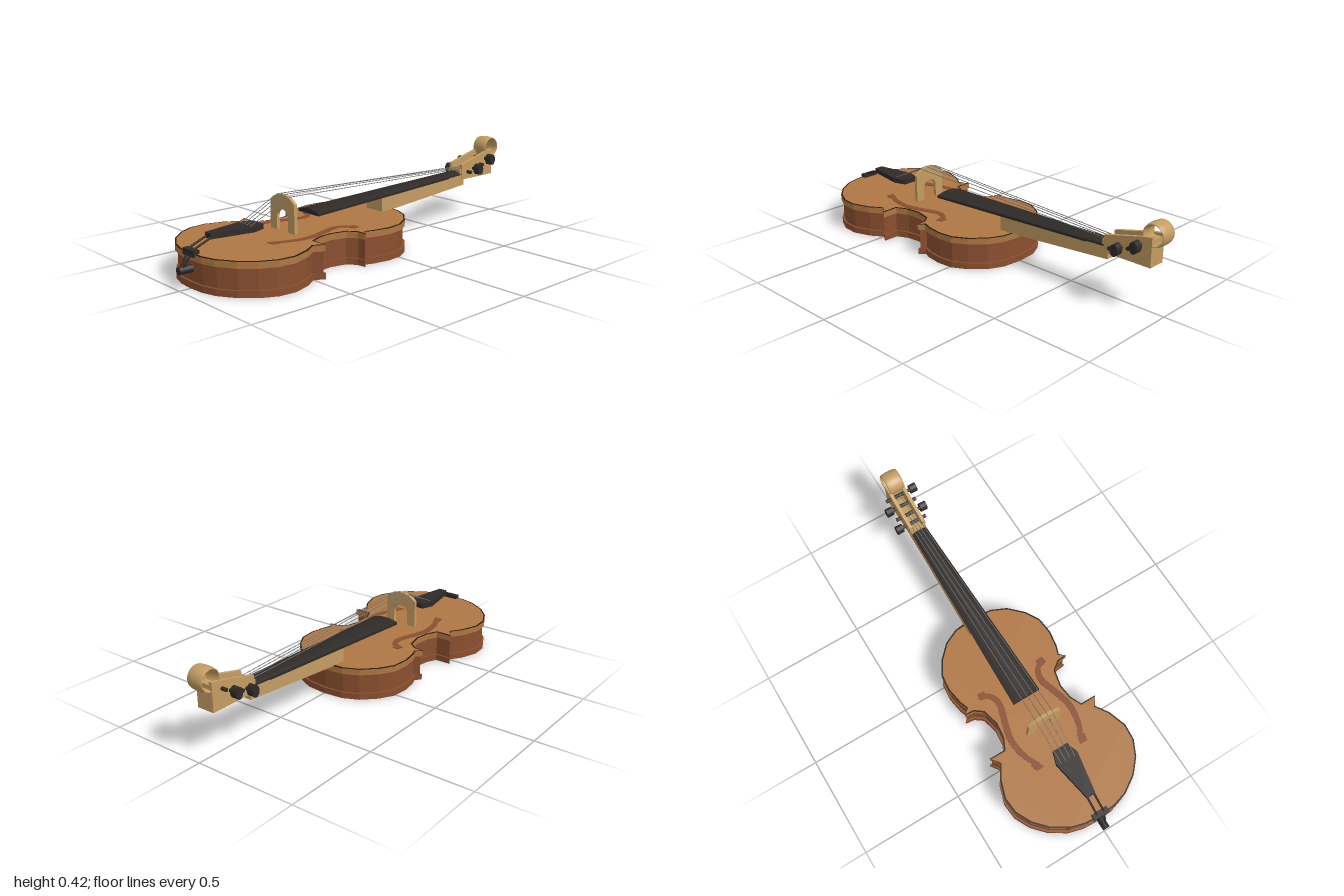
import * as THREE from 'three';

const mat = (color, side = THREE.FrontSide) => {
  const m = new THREE.MeshStandardMaterial({ side });
  m.color.set(color);
  return m;
};
const spruce = mat(0xb07743), maple = mat(0x8a4f2f), pale = mat(0xc49d62);
const ebony = mat(0x2e2a28), edging = mat(0x2b1d12), steel = mat(0x777777);
const V = (x, y, z) => new THREE.Vector3(x, y, z);

// right half of the body outline as [x, z], neck end to tail end
const half = [[0, -.19], [.1, -.18], [.175, -.145], [.24, -.08], [.28, -.01], [.288, .07],
  [.275, .15], [.26, .19], [.285, .215], [.24, .22], [.2, .25], [.182, .33], [.19, .4],
  [.215, .455], [.295, .455], [.265, .5], [.305, .56], [.335, .65], [.328, .73], [.29, .805],
  [.23, .87], [.15, .92], [.08, .94], [0, .945]];
const outline = [...half, ...half.slice(1, -1).reverse().map(([x, z]) => [-x, z])];

// moves a closed outline inward by d
function inset(pts, d) {
  const n = pts.length;
  return pts.map(([x, z], i) => {
    const [ax, az] = pts[(i + n - 1) % n], [bx, bz] = pts[(i + 1) % n];
    const l = Math.hypot(bx - ax, bz - az);
    return [x - (bz - az) / l * d, z + (bx - ax) / l * d];
  });
}

const toShape = (pts) => new THREE.Shape(pts.map(([x, z]) => new THREE.Vector2(x, -z)));

// flat plate from an [x, z] outline, standing on y
function slab(shape, y, h) {
  return new THREE.ExtrudeGeometry(shape, { depth: h, bevelEnabled: false, curveSegments: 12 })
    .rotateX(-Math.PI / 2).translate(0, y, 0);
}

// block between a front and a back section, each { z, w, y0, y1 }, w being half the width
function taper(front, back) {
  const g = new THREE.BoxGeometry(2, 1, 1).toNonIndexed();
  const p = g.attributes.position;
  for (let i = 0; i < p.count; i++) {
    const s = p.getZ(i) > 0 ? front : back;
    p.setXYZ(i, p.getX(i) * s.w, p.getY(i) > 0 ? s.y1 : s.y0, s.z);
  }
  g.computeVertexNormals();
  return g;
}

// straight round bar along a list of points
function rod(points, r, sides = 6) {
  const path = new THREE.CurvePath();
  for (let i = 1; i < points.length; i++) path.add(new THREE.LineCurve3(points[i - 1], points[i]));
  return path.curves.map((c) => new THREE.TubeGeometry(c, 1, r, sides));
}

export function createModel() {
  const root = new THREE.Group();
  const add = (name, geo, material, parent = root) => {
    const m = new THREE.Mesh(geo, material);
    m.name = name;
    parent.add(m);
    return m;
  };
  const group = (name) => {
    const g = new THREE.Group();
    g.name = name;
    root.add(g);
    return g;
  };

  // body
  add('backPlate', slab(toShape(outline), 0, .03), maple);
  add('ribs', slab(toShape(inset(outline, .01)), .03, .095), maple);
  add('topPlate', slab(toShape(outline), .125, .029), spruce);
  const rim = toShape(outline);
  rim.holes.push(new THREE.Path(inset(outline, .007).map(([x, z]) => new THREE.Vector2(x, -z))));
  add('edgeTrim', slab(rim, .153, .003), edging);

  // sound holes: a curved ribbon with a wider foot at each end
  const holes = group('soundHoles');
  const mid = new THREE.SplineCurve([[.165, .175], [.13, .205], [.118, .26], [.148, .36],
    [.164, .44], [.15, .53], [.118, .595]].map(([x, z]) => new THREE.Vector2(x, z)));
  for (const s of [1, -1]) {
    const a = [], b = [];
    for (let i = 0; i <= 24; i++) {
      const p = mid.getPoint(i / 24), t = mid.getTangent(i / 24);
      const w = .011 + .005 * Math.sin(Math.PI * i / 24);
      a.push([s * (p.x - t.y * w), p.y + t.x * w]);
      b.unshift([s * (p.x + t.y * w), p.y - t.x * w]);
    }
    add('soundHoleCurve', slab(toShape([...a, ...b]), .152, .0045), maple, holes);
    const feet = [[[.145, .16], [.182, .157], [.188, .19], [.155, .198]],
      [[.113, .58], [.15, .58], [.14, .618], [.1, .618]]];
    for (const f of feet)
      add('soundHoleEnd', slab(toShape(f.map(([x, z]) => [s * x, z])), .152, .0045), maple, holes);
  }

  // neck
  add('neck', taper({ z: -.11, w: .055, y0: .148, y1: .222 },
    { z: -.725, w: .04, y0: .19, y1: .246 }), pale);

  // fingerboard: arched section, tapering and rising towards the nut
  const section = new THREE.Shape();
  section.moveTo(-1, 0).lineTo(1, 0).lineTo(1, .012);
  section.quadraticCurveTo(0, .036, -1, .012);
  const board = new THREE.ExtrudeGeometry(section, { depth: 1, bevelEnabled: false, curveSegments: 8 });
  const bp = board.attributes.position;
  for (let i = 0; i < bp.count; i++) {
    const t = bp.getZ(i);
    bp.setXYZ(i, bp.getX(i) * (.04 + .031 * t), bp.getY(i) + .241 - .033 * t, -.7 + 1.005 * t);
  }
  board.computeVertexNormals();
  add('fingerboard', board, ebony);
  add('nut', new THREE.BoxGeometry(.08, .035, .014).translate(0, .258, -.7), pale);

  // pegbox: two cheeks, a floor and an end block
  const box = group('pegbox');
  const cheek = new THREE.Shape([[.705, .22], [.945, .22], [.945, .355], [.9, .348], [.705, .3]]
    .map(([z, y]) => new THREE.Vector2(z, y)));
  for (const s of [1, -1])
    add('cheek', new THREE.ExtrudeGeometry(cheek, { depth: .016, bevelEnabled: false })
      .translate(0, 0, -.008).rotateY(Math.PI / 2).translate(s * .036, 0, 0), pale, box);
  add('floor', new THREE.BoxGeometry(.06, .025, .24).translate(0, .2325, -.825), pale, box);
  add('endBlock', new THREE.BoxGeometry(.06, .12, .045).translate(0, .28, -.9225), pale, box);

  // scroll: an open ring, stretched sideways
  const scroll = add('scroll', new THREE.TorusGeometry(.049, .0065, 16, 32)
    .scale(1, 1, 6.4).rotateY(Math.PI / 2), pale);
  scroll.position.set(0, .363, -.945);

  // tuning pegs, alternating sides
  const pegs = group('tuningPegs');
  [[1, .31, -.89], [-1, .285, -.845], [1, .27, -.795], [-1, .257, -.75]].forEach(([s, y, z]) => {
    add('pegShaft', new THREE.CylinderGeometry(.009, .009, .14, 10)
      .rotateZ(Math.PI / 2).translate(0, y, z), ebony, pegs);
    add('pegHead', new THREE.CylinderGeometry(.02, .02, .035, 14)
      .rotateZ(Math.PI / 2).scale(1, 1.4, 1).translate(s * .08, y, z), ebony, pegs);
  });

  // bridge with an arched opening between its feet
  const bridge = new THREE.Shape();
  bridge.moveTo(-.087, .155).lineTo(-.04, .155).lineTo(-.04, .215);
  bridge.absarc(0, .215, .04, Math.PI, 0, true);
  bridge.lineTo(.04, .155).lineTo(.087, .155).lineTo(.085, .29);
  bridge.quadraticCurveTo(.045, .324, 0, .324);
  bridge.quadraticCurveTo(-.045, .324, -.085, .29);
  add('bridge', new THREE.ExtrudeGeometry(bridge, { depth: .016, bevelEnabled: false })
    .translate(0, 0, .44), pale);

  // tailpiece, saddle, gut loop and end pin
  add('tailpiece', slab(toShape([[-.038, .59], [-.058, .65], [-.022, .85], [.022, .85],
    [.058, .65], [.038, .59]]), .198, .024), ebony);
  add('saddle', new THREE.BoxGeometry(.082, .028, .03).translate(0, .157, .935), ebony);
  const gut = group('tailGut');
  for (const s of [1, -1])
    rod([V(s * .018, .208, .84), V(s * .018, .17, .935), V(s * .006, .09, .985)], .005)
      .forEach((g) => add('gutStrand', g, ebony, gut));
  add('endPin', new THREE.CylinderGeometry(.0175, .0175, .065, 16)
    .rotateX(Math.PI / 2).translate(0, .087, .9675), ebony);

  // strings from tailpiece over bridge and nut to the pegs
  const strings = group('strings');
  const pegEnds = [[.257, -.75], [.27, -.795], [.31, -.89], [.285, -.845]];
  [-.045, -.015, .015, .045].forEach((x, i) => {
    const [y, z] = pegEnds[i];
    rod([V(x * .8, .222, .66), V(x, Math.abs(x) > .03 ? .317 : .325, .448),
      V(x * .6, .277, -.7), V(x * .4, y + .008, z)], .0018, 5)
      .forEach((g) => add('string', g, steel, strings));
  });
  return root;
}
